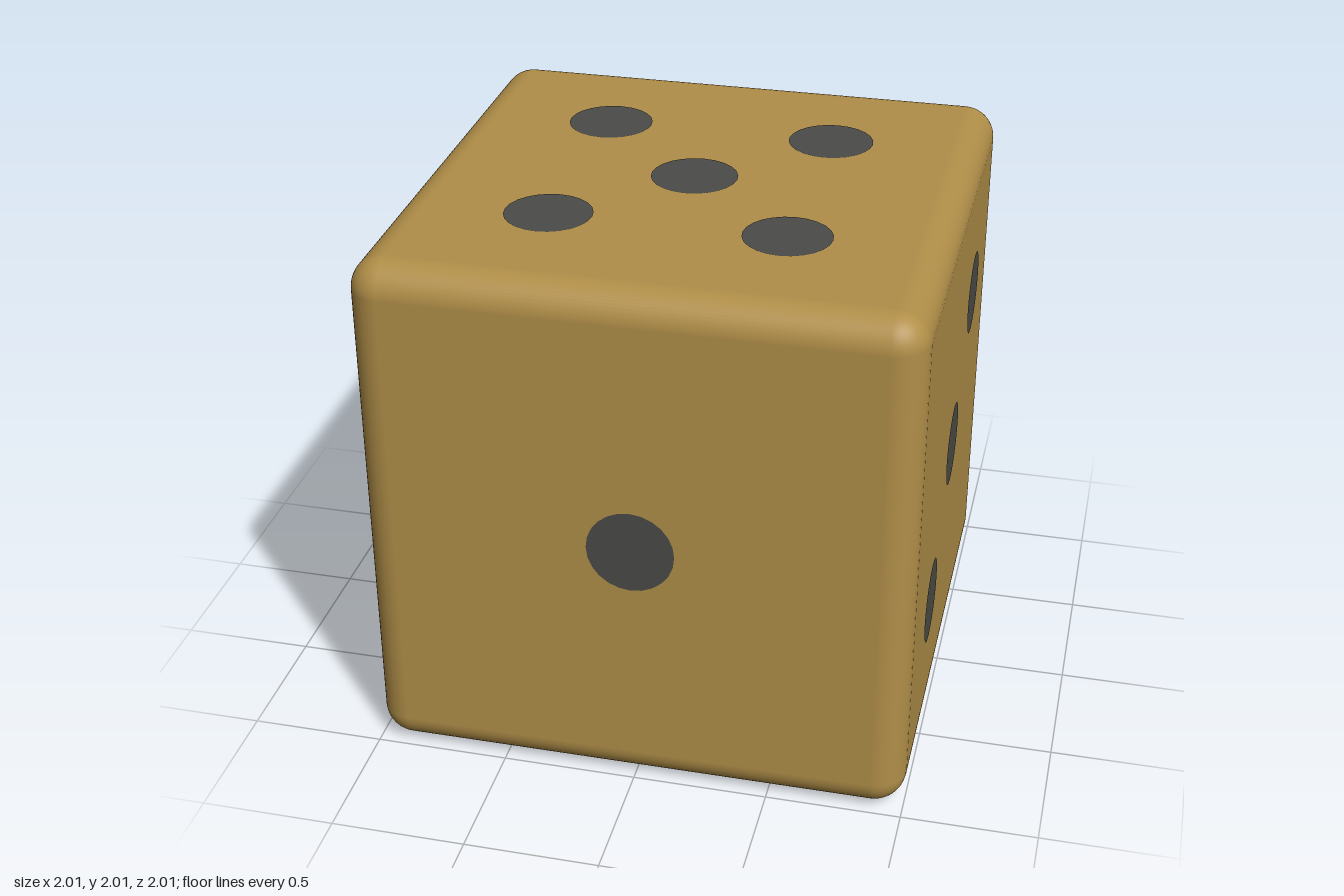
import * as THREE from 'three';
import { RoundedBoxGeometry } from 'three/addons/geometries/RoundedBoxGeometry.js';

const HALF = 1;         // half the edge length
const STEP = 0.43;      // pip spacing
const PIP_RADIUS = 0.16;
const PIP_LIFT = 0.003; // keeps the pips just clear of the body

export function createModel() {
  const ochre = new THREE.MeshStandardMaterial({ color: 0xb08e48 });
  ochre.name = 'ochre';
  const charcoal = new THREE.MeshStandardMaterial({ color: 0x4b4c48 });
  charcoal.name = 'charcoal';

  const die = new THREE.Group();
  die.name = 'die';
  die.position.y = HALF;

  // Cube with softly rounded edges
  const body = new THREE.Mesh(new RoundedBoxGeometry(2, 2, 2, 6, 0.12), ochre);
  body.name = 'body';
  die.add(body);

  // Pip layouts on a 3 x 3 grid: [across, up] as seen facing each side
  const corners = [[-1, -1], [1, -1], [-1, 1], [1, 1]];
  const faces = [
    { name: 'frontOne', rotation: [0, 0, 0], pips: [[0, 0]] },
    { name: 'leftThree', rotation: [0, Math.PI / 2, 0], pips: [[-1, -1], [0, 0], [1, 1]] },
    { name: 'backSix', rotation: [0, Math.PI, 0], pips: [...corners, [-1, 0], [1, 0]] },
    { name: 'rightFour', rotation: [0, -Math.PI / 2, 0], pips: corners },
    { name: 'topFive', rotation: [-Math.PI / 2, 0, 0], pips: [...corners, [0, 0]] },
    { name: 'bottomTwo', rotation: [Math.PI / 2, 0, 0], pips: [[1, 1], [-1, -1]] },
  ];

  // Flat round pips, laid out facing +z and then turned to their side
  const pipGeometry = new THREE.CircleGeometry(PIP_RADIUS, 24);
  for (const { name, rotation, pips } of faces) {
    const face = new THREE.Group();
    face.name = name;
    face.rotation.set(...rotation);
    for (const [across, up] of pips) {
      const pip = new THREE.Mesh(pipGeometry, charcoal);
      pip.name = 'pip';
      pip.position.set(across * STEP, up * STEP, HALF + PIP_LIFT);
      face.add(pip);
    }
    die.add(face);
  }

  const model = new THREE.Group();
  model.name = 'model';
  model.add(die);
  return model;
}
